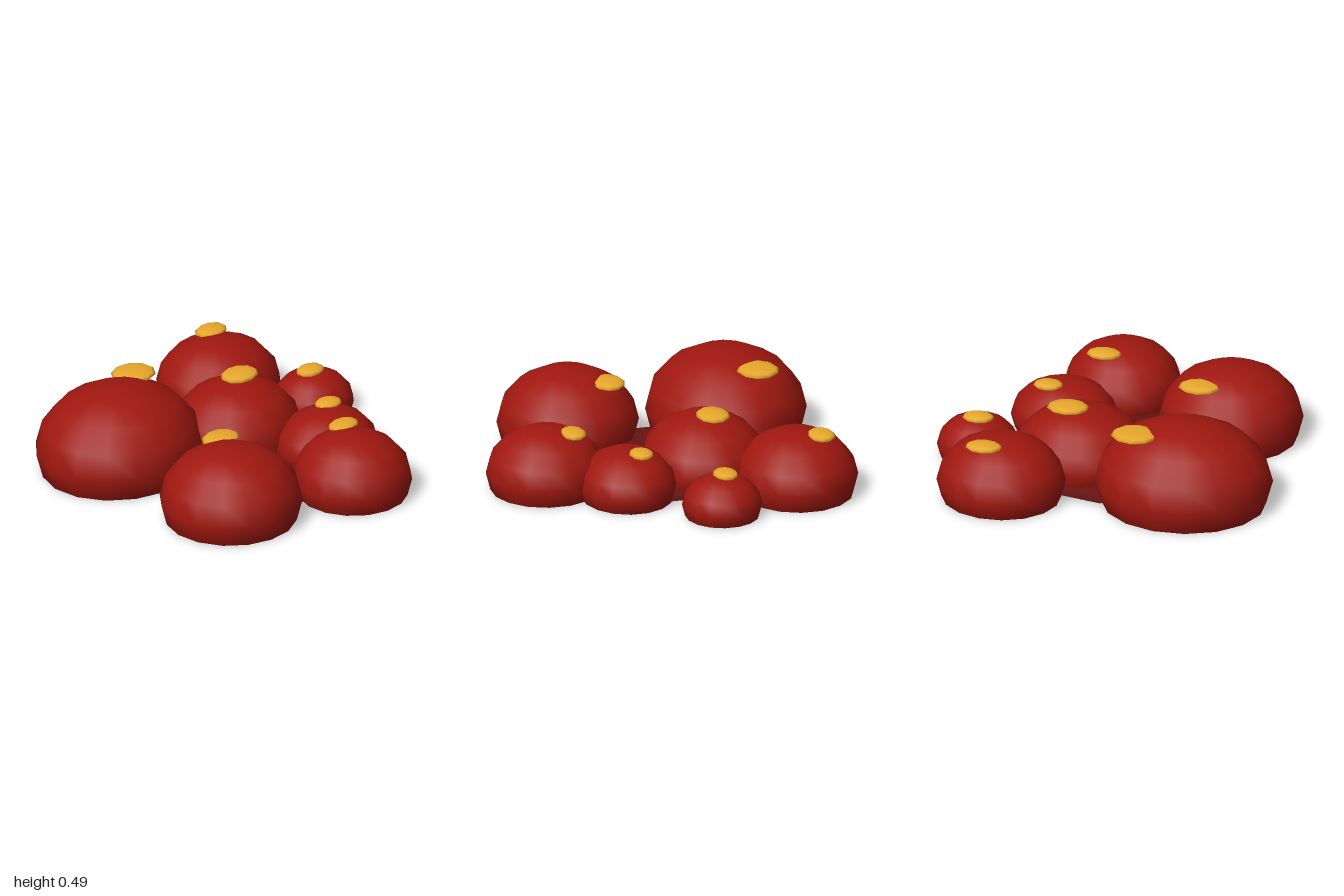
import * as THREE from 'three';

const red = new THREE.MeshStandardMaterial({ color: 0xa01810 });
const darkRed = new THREE.MeshStandardMaterial({ color: 0x681412 });
const yellow = new THREE.MeshStandardMaterial({ color: 0xe8a82c });

// Smooth ellipsoid; whatever would reach below the ground is flattened onto it
function blob(name, material, [x, y, z], [rx, ry, rz], segments, rows) {
  const geometry = new THREE.SphereGeometry(1, segments, rows);
  geometry.rotateY(Math.PI / segments);
  geometry.scale(rx, ry, rz);
  geometry.translate(x, y, z);
  const p = geometry.attributes.position;
  for (let i = 0; i < p.count; i++) p.setY(i, Math.max(0, p.getY(i)));
  const mesh = new THREE.Mesh(geometry, material);
  mesh.name = name;
  return mesh;
}

// Each mound: centre x, z; half extents x, z; height; then its spot: centre x, y, z and radii x, z
const mounds = [
  [-0.49, -0.53, 0.49, 0.44, 0.49, [-0.235, 0.442, -0.645], [0.135, 0.12]],
  [-0.575, 0.36, 0.395, 0.39, 0.43, [-0.435, 0.373, 0.165], [0.12, 0.095]],
  [0.16, -0.225, 0.37, 0.345, 0.38, [0.225, 0.385, -0.26], [0.12, 0.095]],
  [0.52, -0.665, 0.355, 0.335, 0.37, [0.595, 0.352, -0.785], [0.105, 0.078]],
  [0.755, -0.17, 0.225, 0.22, 0.24, [0.75, 0.238, -0.19], [0.09, 0.07]],
  [0.355, 0.27, 0.295, 0.27, 0.29, [0.435, 0.28, 0.21], [0.085, 0.068]],
  [0.105, 0.67, 0.325, 0.33, 0.365, [0.185, 0.342, 0.535], [0.1, 0.072]],
];

export function createModel() {
  const group = new THREE.Group();

  // Thin sheet joining the mounds
  group.add(blob('base', darkRed, [-0.04, 0.015, -0.04], [0.58, 0.045, 0.64], 14, 8));

  // Mounds with a flat yellow spot near each crown
  for (const [x, z, ex, ez, h, spot, [sx, sz]] of mounds) {
    const k = 1 / Math.cos(Math.PI / 16);
    group.add(blob('mound', red, [x, h * 0.275, z], [ex * k, h * 0.725, ez * k], 16, 8));
    group.add(blob('spot', yellow, spot, [sx, 0.024, sz], 10, 6));
  }
  return group;
}
